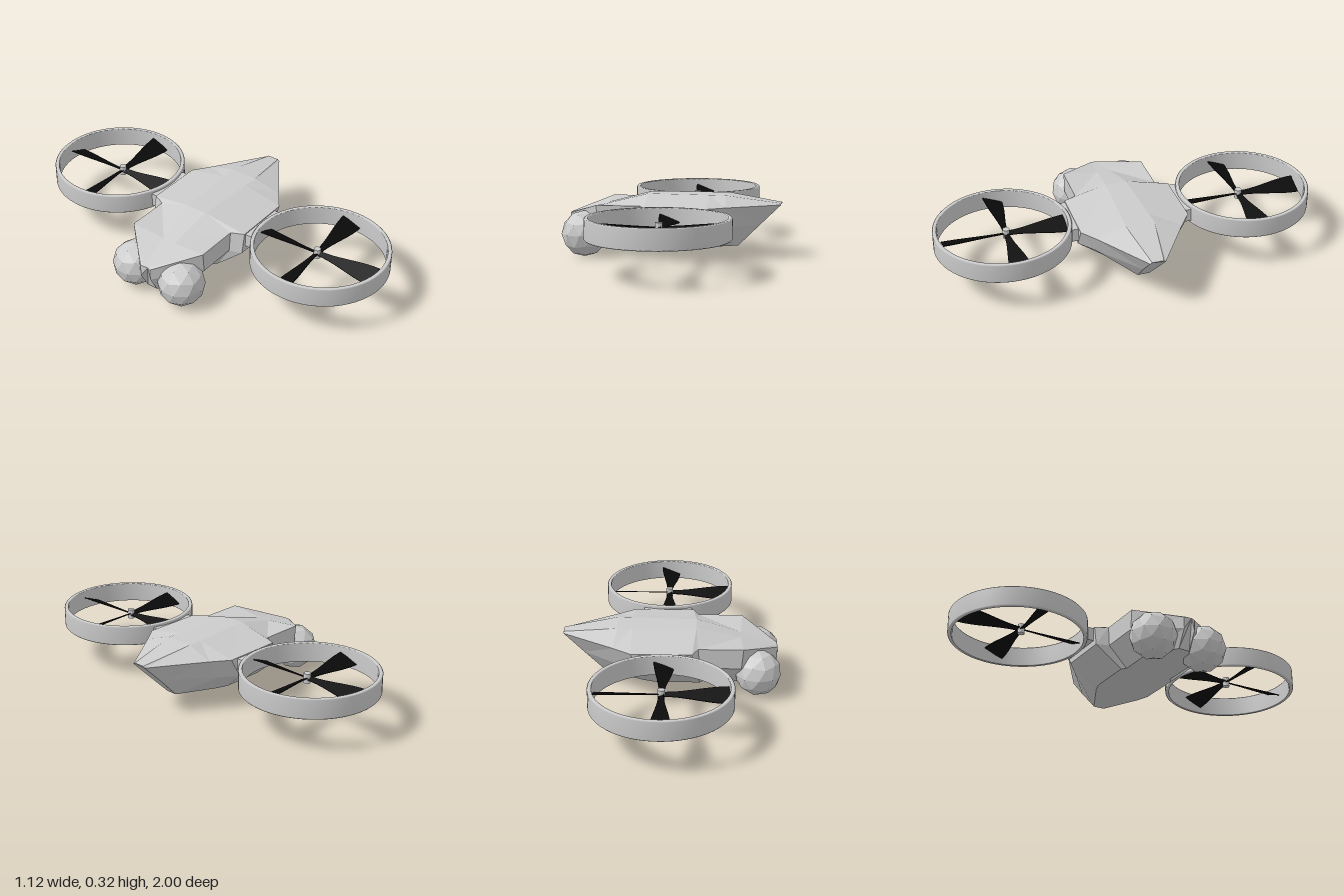
import * as THREE from 'three';

const grey = new THREE.MeshStandardMaterial({ color: 0xcccccc, side: THREE.DoubleSide });
const greyFlat = new THREE.MeshStandardMaterial({ color: 0xcccccc, flatShading: true });
const black = new THREE.MeshStandardMaterial({ color: 0x0a0a0a, flatShading: true, side: THREE.DoubleSide });

function mesh(name, geometry, material) {
  const m = new THREE.Mesh(geometry, material);
  m.name = name;
  return m;
}

// Half cross-sections from nose to tail: ridge, shoulder, lower edge, belly as [x, y, z]
const hullSections = [
  [[-0.55, 0.215, 0.015], [-0.55, 0.21, 0.03], [-0.55, 0.15, 0.03], [-0.5, 0.06, 0.03]],
  [[-0.36, 0.265, 0.035], [-0.37, 0.28, 0.22], [-0.36, 0.175, 0.22], [-0.35, 0.06, 0.13]],
  [[-0.13, 0.325, 0.055], [-0.14, 0.28, 0.22], [-0.15, 0.175, 0.22], [-0.17, 0.06, 0.13]],
  [[-0.1, 0.325, 0.057], [-0.11, 0.28, 0.285], [-0.13, 0.175, 0.285], [-0.15, 0.06, 0.15]],
  [[0.2, 0.325, 0.07], [0.2, 0.28, 0.285], [0.14, 0.175, 0.285], [0.08, 0.06, 0.15]],
  [[0.28, 0.325, 0.075], [0.29, 0.28, 0.22], [0.22, 0.175, 0.22], [0.14, 0.06, 0.13]],
  [[0.56, 0.285, 0.03], [0.56, 0.278, 0.04], [0.455, 0.175, 0.04], [0.34, 0.06, 0.03]],
];

function hullGeometry() {
  const loops = hullSections.map((half) => [
    ...half,
    ...half.map(([x, y, z]) => [x, y, -z]).reverse(),
  ]);
  const positions = [];
  const tri = (a, b, c) => positions.push(...a, ...b, ...c);
  const n = loops[0].length;
  for (let i = 0; i < loops.length - 1; i++) {
    for (let j = 0; j < n; j++) {
      const k = (j + 1) % n;
      const a = loops[i][j], b = loops[i][k], c = loops[i + 1][k], d = loops[i + 1][j];
      // mirror the diagonals so both sides match
      if (j < 4) { tri(a, b, c); tri(a, c, d); } else { tri(a, b, d); tri(b, c, d); }
    }
  }
  // nose and tail caps
  const nose = loops[0], tail = loops[loops.length - 1];
  for (let j = 1; j < n - 1; j++) {
    tri(nose[0], nose[j + 1], nose[j]);
    tri(tail[0], tail[j], tail[j + 1]);
  }
  const g = new THREE.BufferGeometry();
  g.setAttribute('position', new THREE.Float32BufferAttribute(positions, 3));
  g.computeVertexNormals();
  return g;
}

// Thin closed band with softened rims
function ductGeometry() {
  const profile = [
    [0.332, 0.185], [0.346, 0.185], [0.351, 0.19], [0.351, 0.285],
    [0.346, 0.29], [0.332, 0.29], [0.33, 0.285], [0.33, 0.19], [0.332, 0.185],
  ].map(([r, y]) => new THREE.Vector2(r, y));
  return new THREE.LatheGeometry(profile, 64);
}

// Blade along +x, flaring toward the tip and pitched about its length
function bladeGeometry() {
  const g = new THREE.BoxGeometry(0.315, 0.004, 1, 10, 1, 1);
  g.translate(0.17, 0, 0);
  const p = g.attributes.position;
  for (let i = 0; i < p.count; i++) {
    const t = THREE.MathUtils.clamp((p.getX(i) - 0.0125) / 0.315, 0, 1);
    p.setZ(i, p.getZ(i) * (0.028 + 0.08 * THREE.MathUtils.smoothstep(t, 0, 1)));
  }
  g.rotateX(0.38);
  g.computeVertexNormals();
  return g;
}

function createRotor(side) {
  const rotor = new THREE.Group();
  rotor.name = side > 0 ? 'leftRotor' : 'rightRotor';

  const duct = mesh('ductRing', ductGeometry(), grey);
  duct.position.set(0.03, 0, side * 0.648);
  rotor.add(duct);

  const propeller = new THREE.Group();
  propeller.name = 'propeller';
  propeller.position.set(0.03, 0.237, side * 0.63);
  propeller.add(mesh('hub', new THREE.CylinderGeometry(0.018, 0.018, 0.05, 12), greyFlat));
  const blade = bladeGeometry();
  for (let i = 0; i < 4; i++) {
    const b = mesh('blade', blade, black);
    b.rotation.y = (i * Math.PI) / 2;
    propeller.add(b);
  }
  rotor.add(propeller);

  // bracket joining the duct to the hull
  const mount = mesh('rotorMount', new THREE.BoxGeometry(0.26, 0.07, 0.05), greyFlat);
  mount.position.set(0.028, 0.24, side * 0.293);
  rotor.add(mount);
  return rotor;
}

export function createModel() {
  const model = new THREE.Group();
  model.name = 'ductedRotorDrone';
  model.add(mesh('hull', hullGeometry(), greyFlat));

  // faceted eye pods under the nose, with a vertex pointing straight up
  const pod = new THREE.IcosahedronGeometry(0.12, 1);
  pod.rotateZ(Math.atan(2 / (1 + Math.sqrt(5))));
  for (const side of [1, -1]) {
    const eye = mesh(side > 0 ? 'leftEyePod' : 'rightEyePod', pod, greyFlat);
    eye.position.set(-0.448, 0.122, side * 0.145);
    model.add(eye);
    model.add(createRotor(side));
  }
  return model;
}
